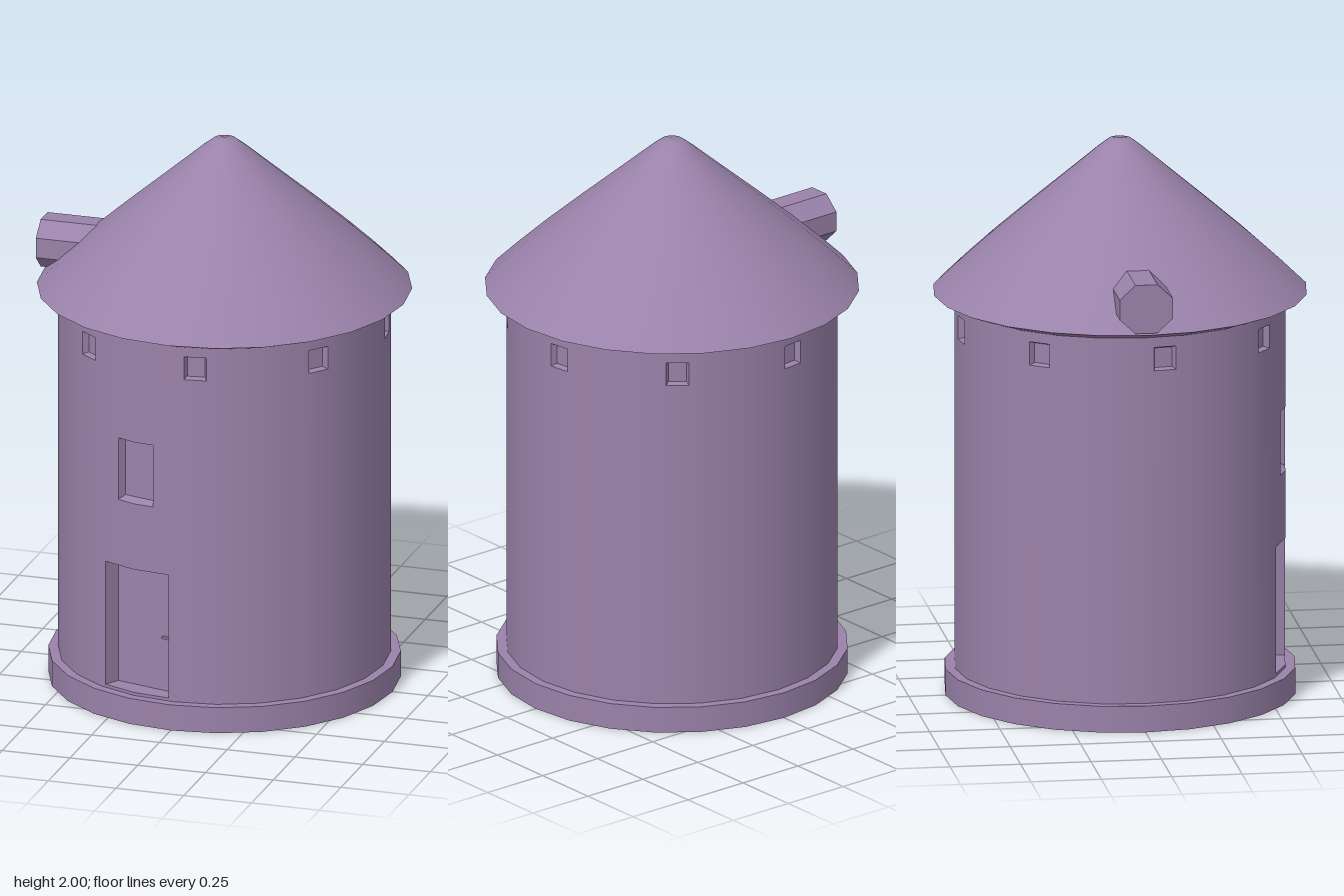
import * as THREE from 'three';

const SIDES = 24, STEP = Math.PI * 2 / SIDES, R = 0.585;
const HALF = R * Math.sin(STEP / 2), APOTHEM = R * Math.cos(STEP / 2);
const WALL_BOTTOM = 0.09, WALL_TOP = 1.43;

// Openings: half width along the wall, bottom, top, depth and splay of the jambs
const LOOPHOLE = { w: 0.04, b: 1.3, t: 1.385, depth: 0.022, splay: 0.008, sill: 0.006 };
const DOOR = { w: 0.133, b: 0.106, t: 0.565, depth: 0.058, splay: 0.016, lintel: 0.025, sill: 0 };
const WINDOW = { w: 0.073, b: 0.81, t: 1.04, depth: 0.028, splay: 0.011, sill: 0.012 };

const material = new THREE.MeshStandardMaterial({ color: 0x9a82aa });
const flatMaterial = new THREE.MeshStandardMaterial({ color: 0x9a82aa, flatShading: true });

function add(parent, name, geometry, mat = material) {
  const mesh = new THREE.Mesh(geometry, mat);
  mesh.name = name;
  parent.add(mesh);
  return mesh;
}

const vectors = list => list.map(([x, y]) => new THREE.Vector2(x, y));

// One flat side of the tower; the outline or a hole leaves room for openings
function wallPanel(k) {
  let shape;
  if (k === 22 || k === 23) {
    const s = k === 23 ? 1 : -1;
    const notch = o => [[-HALF, o.t], [-HALF + o.w, o.t], [-HALF + o.w, o.b], [-HALF, o.b]];
    const outline = [[-HALF, WALL_BOTTOM], [HALF, WALL_BOTTOM], [HALF, WALL_TOP],
      [-HALF, WALL_TOP], ...notch(WINDOW), ...notch(DOOR)];
    shape = new THREE.Shape(vectors(outline.map(([x, y]) => [x * s, y])));
  } else {
    shape = new THREE.Shape(vectors([[-HALF, WALL_BOTTOM], [HALF, WALL_BOTTOM],
      [HALF, WALL_TOP], [-HALF, WALL_TOP]]));
    if (k % 3 === 0) {
      const { w, b, t } = LOOPHOLE;
      shape.holes.push(new THREE.Path(vectors([[-w, b], [-w, t], [w, t], [w, b]])));
    }
  }
  const geometry = new THREE.ShapeGeometry(shape);
  geometry.translate(0, 0, APOTHEM);
  // Radial normals make the sides shade as one round wall
  const p = geometry.attributes.position, n = geometry.attributes.normal;
  for (let i = 0; i < p.count; i++) {
    const l = Math.hypot(p.getX(i), p.getZ(i));
    n.setXYZ(i, p.getX(i) / l, 0, p.getZ(i) / l);
  }
  return geometry.rotateY((k + 0.5) * STEP);
}

// Splayed jambs and flat back of an opening; onCorner bends it round a wall edge
function recess(o, onCorner) {
  const w = onCorner ? o.w * Math.cos(STEP / 2) : o.w;
  const zEdge = onCorner ? R - o.w * Math.sin(STEP / 2) : APOTHEM;
  const zMid = onCorner ? R : APOTHEM;
  const zBack = zEdge - o.depth;
  const wi = w - o.splay, bi = o.b + o.sill, ti = o.t - (o.lintel ?? o.splay);
  const outer = [[-w, o.b, zEdge], [0, o.b, zMid], [w, o.b, zEdge],
    [w, o.t, zEdge], [0, o.t, zMid], [-w, o.t, zEdge]];
  const inner = [[-wi, bi, zBack], [0, bi, zBack], [wi, bi, zBack],
    [wi, ti, zBack], [0, ti, zBack], [-wi, ti, zBack]];
  const tris = [];
  for (let i = 0; i < 6; i++) {
    const j = (i + 1) % 6;
    tris.push(outer[i], outer[j], inner[j], outer[i], inner[j], inner[i]);
  }
  for (let i = 2; i < 6; i++) tris.push(inner[1], inner[i], inner[(i + 1) % 6]);
  const geometry = new THREE.BufferGeometry();
  geometry.setAttribute('position', new THREE.Float32BufferAttribute(tris.flat(), 3));
  geometry.computeVertexNormals();
  return geometry;
}

export function createModel() {
  const model = new THREE.Group();
  model.name = 'roundTower';

  // Plinth
  const base = new THREE.CylinderGeometry(0.62, 0.62, 0.095, SIDES);
  add(model, 'base', base.translate(0, 0.0475, 0));

  // Wall with a ring of loopholes under the eaves
  const wall = new THREE.Group();
  wall.name = 'wall';
  model.add(wall);
  for (let k = 0; k < SIDES; k++) {
    add(wall, 'wallPanel', wallPanel(k));
    if (k % 3 === 0) add(wall, 'loophole', recess(LOOPHOLE, false)).rotation.y = (k + 0.5) * STEP;
  }

  // Door with handle, and the window above it
  const entrance = new THREE.Group();
  entrance.name = 'entrance';
  entrance.rotation.y = -STEP;
  model.add(entrance);
  add(entrance, 'door', recess(DOOR, true));
  add(entrance, 'window', recess(WINDOW, true));
  const handle = add(entrance, 'doorHandle', new THREE.BoxGeometry(0.03, 0.008, 0.014));
  handle.position.set(0.088, 0.305, 0.515);

  // Slightly swelling conical roof with a blunt tip, and its soffit
  const roofProfile = [[0.66, 1.45], [0.58, 1.528], [0.47, 1.63], [0.33, 1.752],
    [0.18, 1.88], [0.08, 1.966], [0.04, 1.997], [0, 2]];
  add(model, 'roof', new THREE.LatheGeometry(vectors(roofProfile), SIDES));
  const soffitProfile = [[0.57, 1.42], [0.59, 1.423], [0.66, 1.45]];
  add(model, 'soffit', new THREE.LatheGeometry(vectors(soffitProfile), SIDES));

  // Eight-sided shaft sticking out through the roof
  const shaft = new THREE.CylinderGeometry(0.095, 0.095, 0.3, 8);
  shaft.rotateY(Math.PI / 8).rotateZ(Math.PI / 2).scale(1, 1, 1.08);
  add(model, 'shaft', shaft.translate(-0.517, 1.547, -0.004), flatMaterial);

  return model;
}
